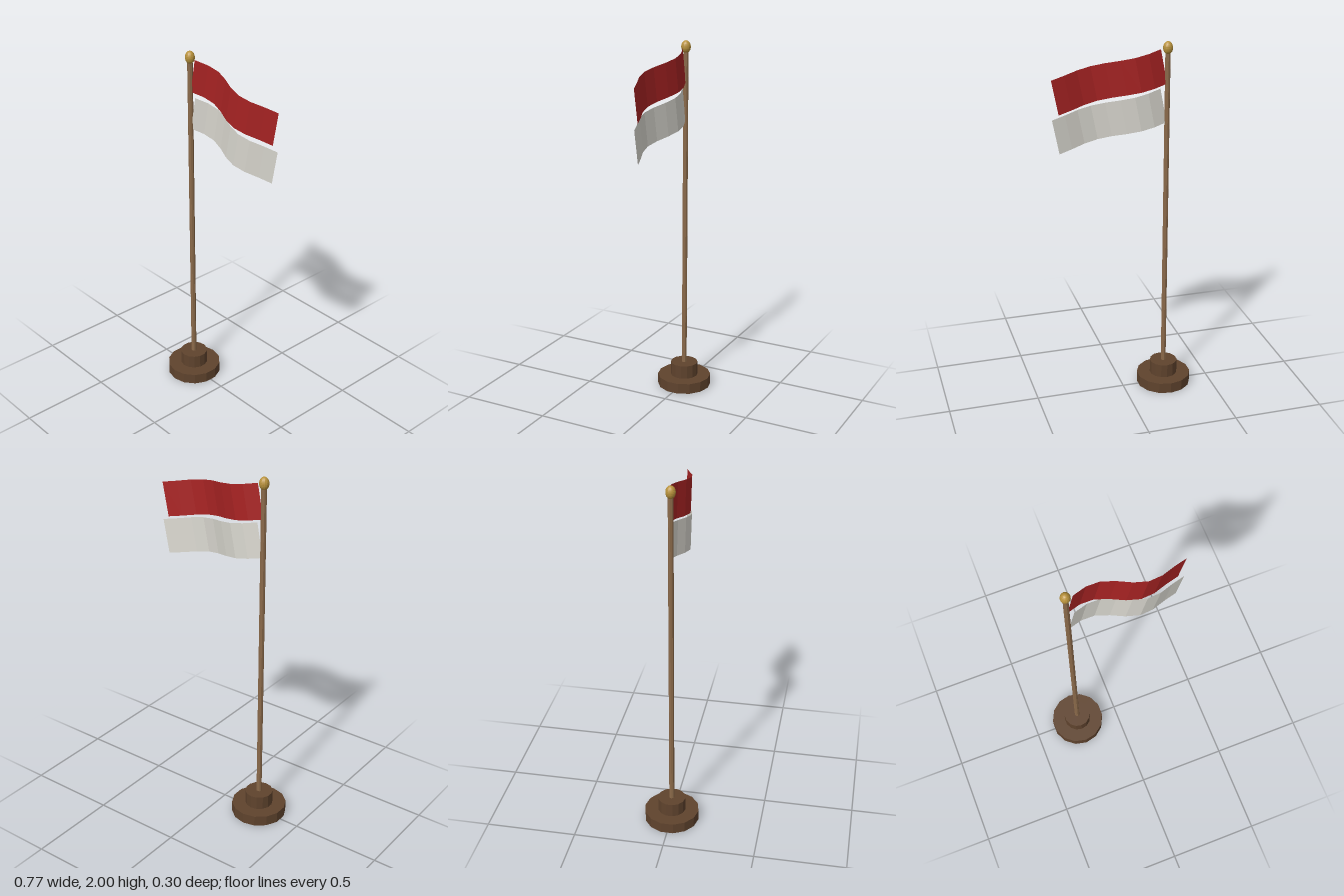
import * as THREE from 'three';

const material = (name, color, options = {}) =>
  Object.assign(new THREE.MeshStandardMaterial({ color, flatShading: true, ...options }), { name });

export function createModel() {
  const model = new THREE.Group();
  model.name = 'flagpole';
  const wood = material('dark wood', 0x5f432d);
  const poleWood = material('pole wood', 0x8b6a4a);
  const gold = material('gold', 0xb8923c);
  const red = material('red cloth', 0xa82323, { side: THREE.DoubleSide });
  const white = material('white cloth', 0xd9d7cf, { side: THREE.DoubleSide });
  const poleX = -0.24;

  const add = (name, geometry, mat, x, y) => {
    const mesh = new THREE.Mesh(geometry, mat);
    mesh.name = name;
    mesh.position.set(x, y, 0);
    model.add(mesh);
    return mesh;
  };
  // Upright cylinder between two heights
  const post = (name, radius, bottom, top, sides, mat) =>
    add(name, new THREE.CylinderGeometry(radius, radius, top - bottom, sides), mat, poleX, (bottom + top) / 2);

  // Stepped base, pole and finial
  post('baseDisc', 0.152, 0, 0.06, 14, wood);
  post('baseCollar', 0.077, 0.06, 0.137, 14, wood);
  post('pole', 0.0145, 0.137, 1.95, 8, poleWood);
  add('finial', new THREE.SphereGeometry(0.026, 16, 12), gold, poleX, 1.966).scale.y = 1.32;

  // Waving cloth stripe, hung from its top left corner and tilted down
  const stripe = (name, mat, top) => {
    const width = 0.598, height = 0.189;
    const cloth = new THREE.PlaneGeometry(width, height, 8, 1);
    cloth.translate(width / 2, -height / 2, 0);
    const p = cloth.attributes.position;
    for (let i = 0; i < p.count; i++) p.setZ(i, -0.033 * Math.sin(7.4 * p.getX(i) / width));
    cloth.computeVertexNormals();
    add(name, cloth, mat, -0.202, top).rotation.z = -0.19;
  };
  stripe('upperStripe', red, 1.961);
  stripe('lowerStripe', white, 1.752);

  return model;
}
